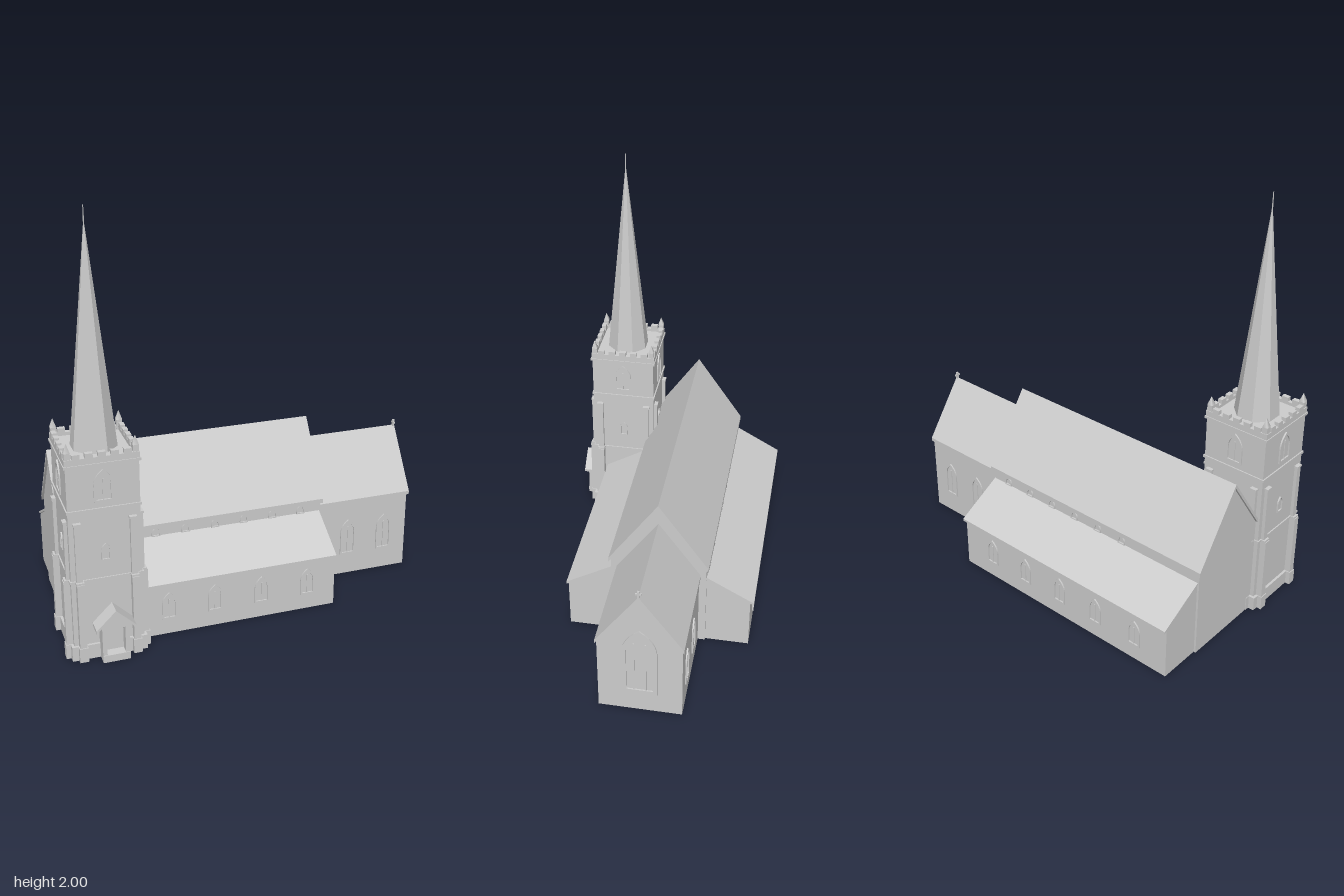
import * as THREE from 'three';

const stone = new THREE.MeshStandardMaterial({ color: 0xcccccc });
stone.name = 'stone grey';

const CZ = -0.072;               // ridge line of nave and chancel
const TX = -0.72, TZ = 0.285;    // tower centre
const HT = 0.16;                 // half width of tower

export function createModel() {
  const model = new THREE.Group();
  model.name = 'church';

  const add = (geo, name, parent = model) => {
    const m = new THREE.Mesh(geo, stone);
    m.name = name;
    parent.add(m);
    return m;
  };
  // box given by its limits
  const box = (name, x0, x1, y0, y1, z0, z1, parent = model) => add(
    new THREE.BoxGeometry(x1 - x0, y1 - y0, z1 - z0)
      .translate((x0 + x1) / 2, (y0 + y1) / 2, (z0 + z1) / 2), name, parent);
  // outline of [z, y] points drawn out along x
  const alongX = (name, pts, x0, x1, parent = model) => {
    const s = new THREE.Shape(pts.map(([z, y]) => new THREE.Vector2(-z, y)));
    const g = new THREE.ExtrudeGeometry(s, { depth: x1 - x0, bevelEnabled: false });
    return add(g.rotateY(Math.PI / 2).translate(x0, 0, 0), name, parent);
  };
  // outline of [x, y] points drawn out along z
  const alongZ = (name, pts, z0, z1, parent = model) => {
    const s = new THREE.Shape(pts.map(([x, y]) => new THREE.Vector2(x, y)));
    const g = new THREE.ExtrudeGeometry(s, { depth: z1 - z0, bevelEnabled: false });
    return add(g.translate(0, 0, z0), name, parent);
  };
  const gable = (c, half, eave, ridge) =>
    [[c - half, 0], [c + half, 0], [c + half, eave], [c, ridge], [c - half, eave]];
  const chevron = (c, half, eave, ridge, t) => [[c - half, eave], [c - half, eave - t],
    [c, ridge - t], [c + half, eave - t], [c + half, eave], [c, ridge]];

  // pointed arch outline standing on y = 0
  const arch = (w, h, cls, inset = 0) => {
    const a = w / 2 - inset, spring = h - w * 0.85, top = h - inset * 1.3;
    const p = new cls();
    p.moveTo(-a, inset);
    p.lineTo(a, inset);
    p.lineTo(a, spring);
    p.quadraticCurveTo(a, spring + (top - spring) * 0.6, 0, top);
    p.quadraticCurveTo(-a, spring + (top - spring) * 0.6, -a, spring);
    p.closePath();
    return p;
  };
  // arched window with a raised surround; turn is its facing about y
  const archWindow = (name, w, h, x, y, z, turn, mullions = 1) => {
    const g = new THREE.Group();
    g.name = name;
    const rim = w * 0.12;
    const s = arch(w, h, THREE.Shape);
    s.holes.push(arch(w, h, THREE.Path, rim));
    add(new THREE.ExtrudeGeometry(s, { depth: 0.007, bevelEnabled: false, curveSegments: 6 }), 'windowSurround', g);
    for (let i = 1; i <= mullions; i++) {
      const mx = -w / 2 + (w * i) / (mullions + 1);
      box('mullion', mx - 0.003, mx + 0.003, 0, h - w * 0.5, 0, 0.004, g);
    }
    g.position.set(x, y, z);
    g.rotation.y = turn;
    model.add(g);
  };
  const S = 0, N = Math.PI, E = Math.PI / 2, W = -Math.PI / 2;

  // nave
  alongX('naveWalls', gable(CZ, 0.228, 0.45, 0.78), -0.86, 0.41);
  alongX('naveRoof', chevron(CZ, 0.238, 0.46, 0.803, 0.022), -0.87, 0.42);
  for (const s of [-1, 1]) {
    for (let i = 0; i < 6; i++) {
      archWindow('clerestoryWindow', 0.04, 0.045, -0.42 + i * 0.145, 0.396, CZ + s * 0.228, s > 0 ? S : N, 0);
    }
  }

  // chancel
  alongX('chancelWalls', gable(CZ, 0.193, 0.4, 0.675), 0.4, 0.895);
  alongX('chancelRoof', chevron(CZ, 0.2, 0.41, 0.693, 0.018), 0.41, 0.905);
  for (const x of [0.58, 0.775]) {
    archWindow('chancelWindow', 0.08, 0.19, x, 0.11, CZ + 0.193, S);
    archWindow('chancelWindow', 0.08, 0.19, x, 0.11, CZ - 0.193, N);
  }
  archWindow('eastWindow', 0.16, 0.38, 0.895, 0.11, CZ, E, 2);
  box('gableCrossStem', 0.894, 0.904, 0.68, 0.722, CZ - 0.005, CZ + 0.005);
  box('gableCrossArm', 0.895, 0.903, 0.702, 0.71, CZ - 0.014, CZ + 0.014);

  // aisles with lean-to roofs
  alongX('southAisleWalls', [[0.1, 0], [0.37, 0], [0.37, 0.26], [0.15, 0.385], [0.1, 0.385]], -0.7, 0.4);
  alongX('southAisleRoof', [[0.15, 0.388], [0.38, 0.252], [0.38, 0.265], [0.15, 0.4]], -0.7, 0.404);
  alongX('northAisleWalls', [[-0.25, 0], [-0.25, 0.385], [-0.3, 0.38], [-0.51, 0.262], [-0.51, 0]], -0.85, 0.4);
  alongX('northAisleRoof', [[-0.29, 0.388], [-0.29, 0.4], [-0.528, 0.267], [-0.528, 0.255]], -0.853, 0.404);
  for (const x of [-0.42, -0.2, 0.03, 0.26]) archWindow('southAisleWindow', 0.07, 0.135, x, 0.08, 0.37, S);
  for (const x of [-0.67, -0.44, -0.22, 0, 0.22]) archWindow('northAisleWindow', 0.07, 0.135, x, 0.08, -0.51, N);

  // tower
  const tower = new THREE.Group();
  tower.name = 'tower';
  tower.position.set(TX, 0, TZ);
  model.add(tower);
  const band = (name, r, y0, y1) => box(name, -r, r, y0, y1, -r, r, tower);
  band('towerBody', HT, 0, 0.955);
  band('towerPlinth', HT + 0.012, 0, 0.07);
  band('lowerStringCourse', HT + 0.006, 0.385, 0.395);
  band('upperStringCourse', HT + 0.006, 0.72, 0.732);
  band('parapetCourse', HT + 0.008, 0.93, 0.942);

  // everything repeated on the four tower faces
  for (let k = 0; k < 4; k++) {
    const side = new THREE.Group();
    side.name = 'towerSide';
    side.rotation.y = (k * Math.PI) / 2;
    tower.add(side);
    box('parapet', -HT - 0.004, HT + 0.004, 0.94, 0.97, HT - 0.018, HT + 0.004, side);
    for (let i = 0; i < 5; i++) {
      const x = -0.112 + i * 0.056;
      box('merlon', x - 0.017, x + 0.017, 0.965, 0.99, HT - 0.018, HT + 0.004, side);
    }
    for (const s of [-1, 1]) {
      const bx = s * 0.123;
      box('buttressUpper', bx - 0.014, bx + 0.014, 0, 0.665, HT, HT + 0.016, side);
      box('buttressCap', bx - 0.017, bx + 0.017, 0.665, 0.675, HT, HT + 0.019, side);
      box('buttressLower', bx - 0.016, bx + 0.016, 0, 0.385, HT, HT + 0.03, side);
      box('buttressLedge', bx - 0.018, bx + 0.018, 0.382, 0.394, HT, HT + 0.026, side);
      box('buttressFoot', bx - 0.02, bx + 0.02, 0, 0.07, HT, HT + 0.034, side);
    }
    // corner pinnacle
    const px = HT - 0.012;
    box('pinnacleShaft', px - 0.013, px + 0.013, 0.94, 1.0, px - 0.013, px + 0.013, side);
    add(new THREE.ConeGeometry(0.019, 0.042, 4).rotateY(Math.PI / 4).translate(px, 1.021, px), 'pinnacleTip', side);
  }
  const faces = [[0, 1, S], [0, -1, N], [1, 0, E], [-1, 0, W]];
  for (const [dx, dz, turn] of faces) {
    archWindow('belfryWindow', 0.085, 0.15, TX + dx * HT, 0.76, TZ + dz * HT, turn);
    archWindow('towerWindow', 0.04, 0.08, TX + dx * HT, 0.48, TZ + dz * HT, turn, 0);
  }

  // octagonal spire with flat faces square to the tower
  const spire = new THREE.CylinderGeometry(0.003, 0.106, 0.975, 8, 1).toNonIndexed();
  spire.rotateY(Math.PI / 8).translate(0, 0.945 + 0.4875, 0);
  spire.computeVertexNormals();
  add(spire, 'spire', tower);
  add(new THREE.CylinderGeometry(0.002, 0.003, 0.085, 6).translate(0, 1.9575, 0), 'spireRod', tower);

  // entrance porch on the tower front
  const porch = new THREE.Group();
  porch.name = 'porch';
  porch.position.x = -0.703;
  model.add(porch);
  const z0 = TZ + HT;
  for (const s of [-1, 1]) {
    const a = s * 0.052;
    box('porchSideWall', a - 0.01, a + 0.01, 0, 0.175, z0, 0.508, porch);
  }
  box('porchLintel', -0.062, 0.062, 0.165, 0.182, z0, 0.508, porch);
  alongZ('porchGable', [[-0.07, 0.175], [0.07, 0.175], [0, 0.247]], z0, 0.508, porch);
  alongZ('porchRoof', chevron(0, 0.09, 0.175, 0.262, 0.014), z0, 0.524, porch);
  box('porchDoor', -0.042, 0.042, 0.035, 0.165, z0, z0 + 0.02, porch);
  box('porchStep', -0.062, 0.062, 0, 0.035, z0, 0.512, porch);

  return model;
}
